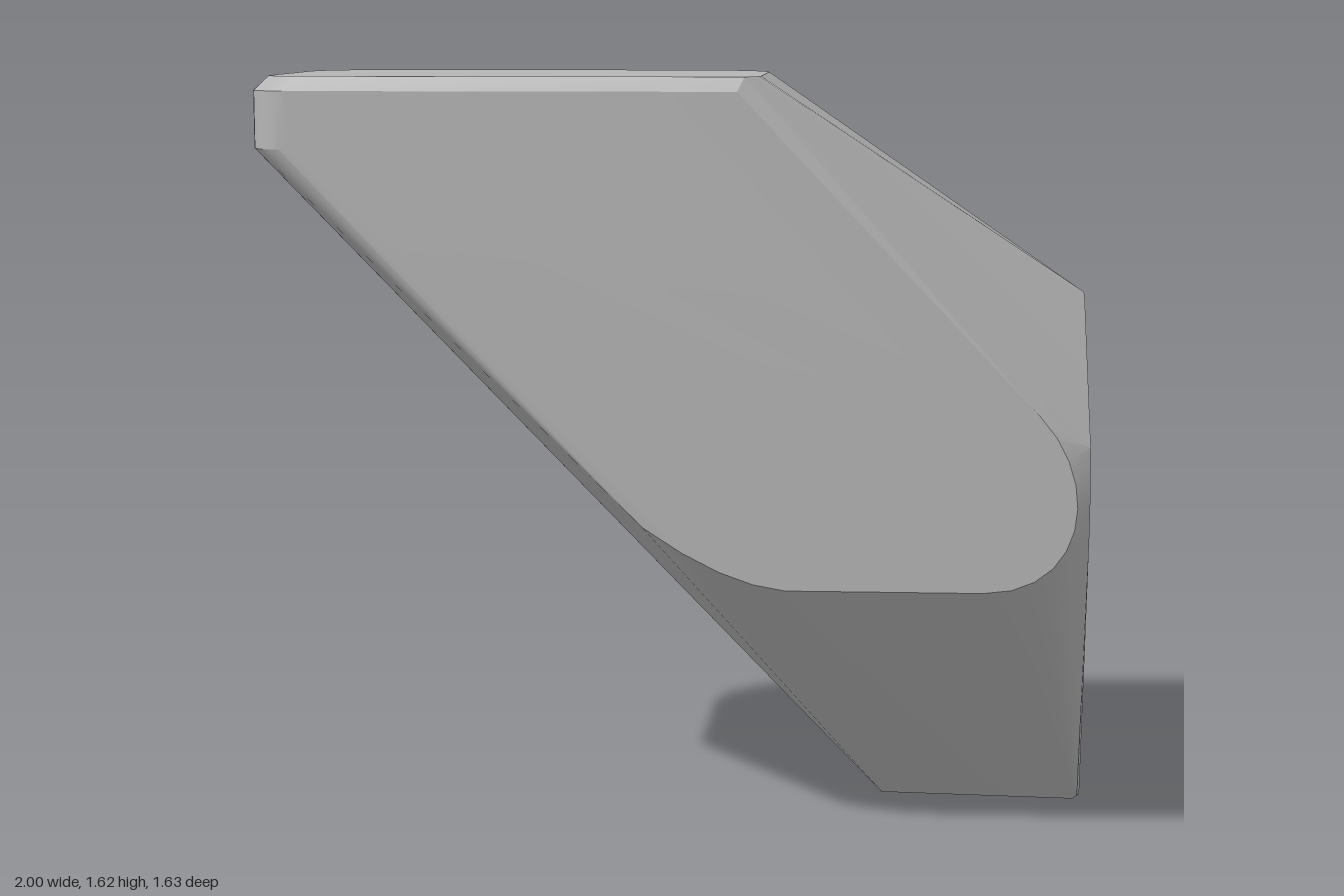
import * as THREE from 'three';
import { ConvexGeometry } from 'three/addons/geometries/ConvexGeometry.js';
import { toCreasedNormals } from 'three/addons/utils/BufferGeometryUtils.js';

const V = (x, y, z) => new THREE.Vector3(x, y, z);

// Points of a rounded corner: start, control, end, each as [a, b]
function corner(a, c, b, steps = 8) {
  return new THREE.QuadraticBezierCurve(
    new THREE.Vector2(...a), new THREE.Vector2(...c), new THREE.Vector2(...b)).getPoints(steps);
}

export function createModel() {
  const stone = new THREE.MeshStandardMaterial({ color: 0xb4b4b4 });
  stone.name = 'stone grey';
  const points = [];

  // Flat top with rounded corners, in x and z
  const top = [
    ...corner([-0.95, -0.34], [-0.99, -0.40], [-0.95, -0.45]),
    ...corner([-0.66, -0.74], [-0.54, -0.86], [-0.40, -0.74]),
    ...corner([0.05, -0.29], [0.17, -0.155], [0.05, -0.01]),
    ...corner([-0.22, 0.27], [-0.26, 0.31], [-0.30, 0.31], 4),
  ];
  for (const p of top) points.push(V(p.x, 1.62, p.y));

  // Upright band below the top bevel at the back left
  const band = [
    ...corner([-0.98, -0.345], [-1.02, -0.40], [-0.98, -0.465]),
    ...corner([-0.68, -0.765], [-0.54, -0.885], [-0.40, -0.765]),
  ];
  for (const y of [1.59, 1.47]) for (const p of band) points.push(V(p.x, y, p.y));

  // Left slanted facet, in x and y, on the plane z = x + 0.63
  const bulge = new THREE.CubicBezierCurve(
    new THREE.Vector2(0.12, 0.93), new THREE.Vector2(0.215, 0.79),
    new THREE.Vector2(0.19, 0.56), new THREE.Vector2(0.04, 0.56)).getPoints(10);
  const facet = [
    new THREE.Vector2(-0.98, 1.59), new THREE.Vector2(-0.32, 1.59),
    ...bulge, ...corner([-0.25, 0.56], [-0.34, 0.57], [-0.46, 0.69], 4),
    new THREE.Vector2(-0.98, 1.46),
  ];
  for (const p of facet) points.push(V(p.x, p.y, p.x + 0.63));

  // Right slanted facet, in x and y, on the plane z = 1.02 - x
  const pentagon = [[0.52, 1.13], [0.55, 1.14], [0.58, 1.135], [0.99, 0.97], [0.99, 0.18],
    [0.58, 0.01], [0.53, 0.01], [0.23, 0.68], [0.215, 0.76], [0.23, 0.86]];
  for (const [x, y] of pentagon) points.push(V(x, y, 1.02 - x));

  // Upright strip at the right and the narrow foot
  for (const y of [0.18, 0.97]) points.push(V(1, y, 0.025), V(0.695, y, -0.27));
  points.push(V(0.25, 0, 0.15), V(0.27, 0, 0.14), V(0.53, 0, 0.475), V(0.57, 0, 0.46));

  const rock = new THREE.Mesh(toCreasedNormals(new ConvexGeometry(points), 0.3), stone);
  rock.name = 'boulder';
  const group = new THREE.Group();
  group.name = 'rock';
  group.add(rock);
  return group;
}
